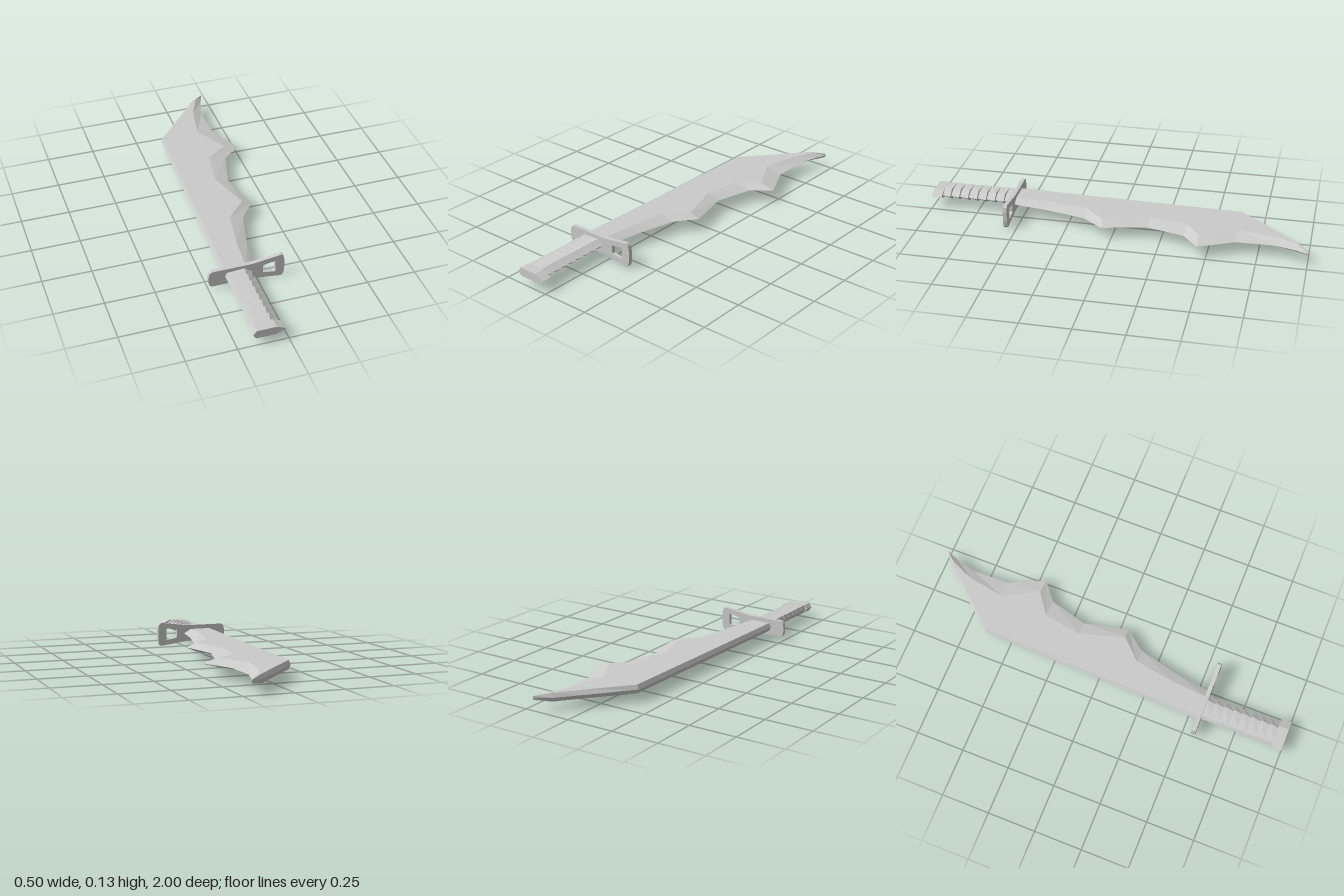
import * as THREE from 'three';

const MID = 0.066; // height of the sword's mid plane
const material = new THREE.MeshStandardMaterial({ color: 0xcccccc, flatShading: true });

// Six-sided section: blunt spine, two flat corners, two ridge corners, sharp edge
function section(z, spine, flat, ridge, edge, hFlat = 0.022, hRidge = hFlat) {
  return [
    [spine, 0, z], [flat, -hFlat, z], [ridge, -hRidge, z],
    [edge, 0, z], [ridge, hRidge, z], [flat, hFlat, z],
  ];
}

// Skin a list of sections running from front (+z) to back, with capped ends
function loft(name, sections) {
  const n = sections[0].length;
  const index = [];
  for (let i = 0; i < sections.length - 1; i++) {
    for (let j = 0; j < n; j++) {
      const a = i * n + j, b = i * n + (j + 1) % n;
      index.push(a, a + n, b, b, a + n, b + n);
    }
  }
  const last = (sections.length - 1) * n;
  for (let j = 1; j < n - 1; j++) {
    index.push(0, j, j + 1, last, last + j + 1, last + j);
  }
  const geometry = new THREE.BufferGeometry();
  geometry.setAttribute('position', new THREE.Float32BufferAttribute(sections.flat(2), 3));
  geometry.setIndex(index);
  const flat = geometry.toNonIndexed();
  flat.computeVertexNormals();
  const mesh = new THREE.Mesh(flat, material);
  mesh.name = name;
  return mesh;
}

function createBlade() {
  // z, spine x, flat x, ridge x, edge x, half thickness
  const rows = [
    [0.555, -0.174, -0.162, -0.055, -0.015],
    [0.36, -0.168, -0.157, -0.04, 0.015],
    [0.155, -0.162, -0.151, -0.005, 0.065],
    [0.05, -0.159, -0.148, 0.095, 0.147],
    [-0.18, -0.153, -0.142, 0.025, 0.095],
    [-0.375, -0.147, -0.136, 0.055, 0.147],
    [-0.455, -0.145, -0.134, 0.165, 0.245],
    [-0.635, -0.14, -0.129, 0.07, 0.16],
    [-0.83, 0.024, 0.042, 0.105, 0.154],
    [-0.945, 0.125, 0.138, 0.155, 0.186],
    [-1, 0.203, 0.204, 0.205, 0.207, 0.01],
  ];
  return loft('blade', rows.map((r) => section(...r)));
}

function createGrip() {
  // Wrapped bands, each swelling toward the guard and then stepping in
  const bands = 8, front = 0.95, back = 0.56, step = (front - back) / bands;
  const sections = [];
  for (let i = 0; i < bands; i++) {
    const z = front - i * step;
    sections.push(section(z, -0.165, -0.155, -0.074, -0.041, 0.021, 0.021));
    sections.push(section(z - step + 0.003, -0.167, -0.157, -0.067, -0.03, 0.022, 0.028));
  }
  return loft('grip', sections);
}

function createPommel() {
  return loft('pommel', [
    section(1, -0.175, -0.16, -0.062, -0.012),
    section(0.947, -0.175, -0.16, -0.062, -0.012),
  ]);
}

function createGuard() {
  // Upper half of the outline, mirrored for the lower half
  const half = [
    [-0.25, 0.012], [-0.246, 0.034], [-0.235, 0.044], [-0.03, 0.044],
    [0.12, 0.064], [0.131, 0.053], [0.136, 0.028],
  ];
  const lower = half.map(([x, y]) => new THREE.Vector2(x, -y));
  const upper = half.map(([x, y]) => new THREE.Vector2(x, y)).reverse();
  const shape = new THREE.Shape([...lower, ...upper]);
  // Finger opening
  shape.holes.push(new THREE.Path([
    [0.027, -0.022], [0.027, 0.022], [0.083, 0.032], [0.09, 0.028],
    [0.09, -0.028], [0.083, -0.032],
  ].map(([x, y]) => new THREE.Vector2(x, y))));
  const geometry = new THREE.ExtrudeGeometry(shape, { depth: 0.021, bevelEnabled: false });
  geometry.translate(0, 0, 0.546);
  const mesh = new THREE.Mesh(geometry, material);
  mesh.name = 'guard';
  return mesh;
}

export function createModel() {
  const group = new THREE.Group();
  group.name = 'sword';
  group.add(createBlade(), createGuard(), createGrip(), createPommel());
  for (const part of group.children) part.position.y = MID;
  return group;
}
